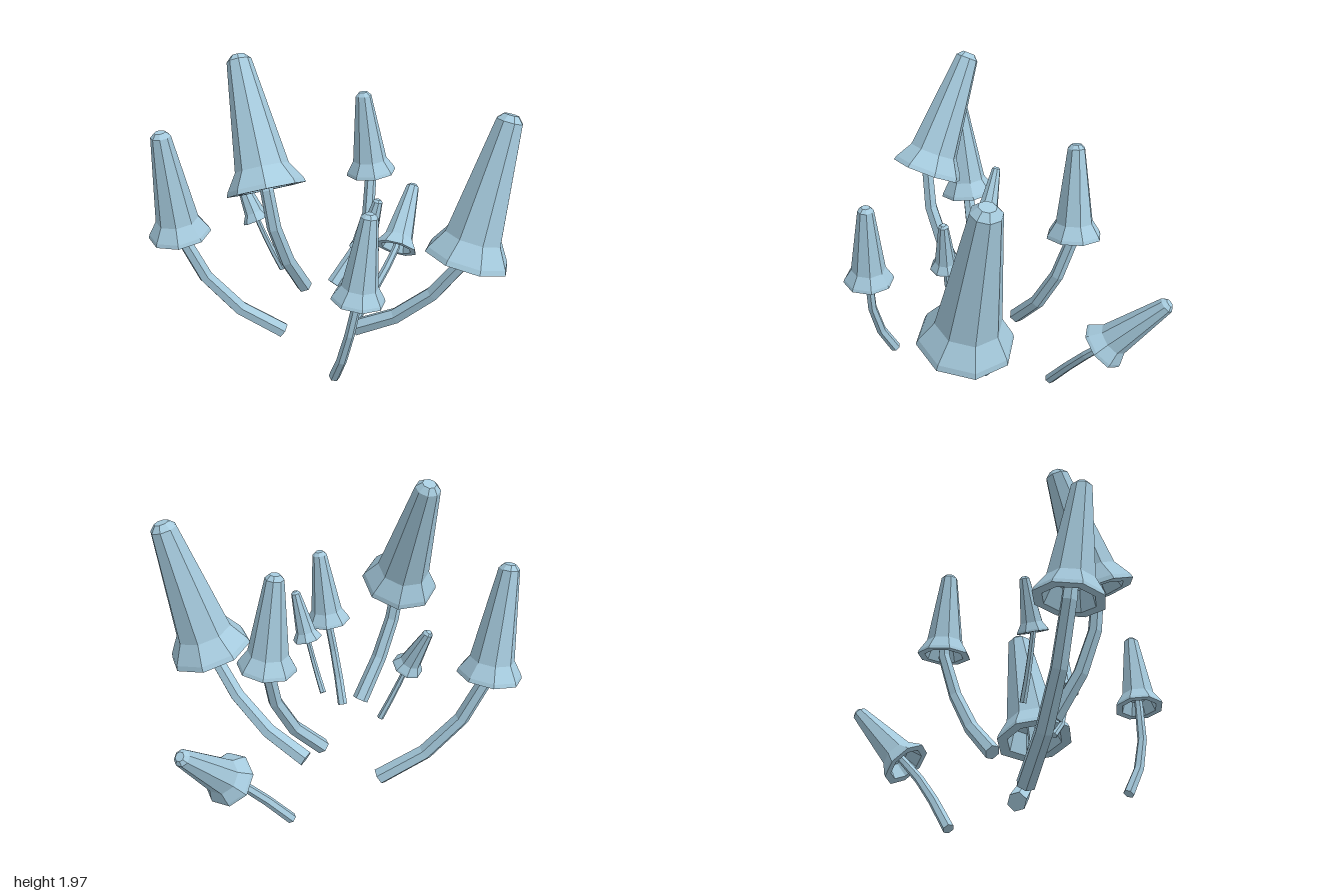
import * as THREE from 'three';

const paleBlue = new THREE.MeshStandardMaterial({ color: 0xa6cbde, flatShading: true });
paleBlue.name = 'paleBlue';

const UP = new THREE.Vector3(0, 1, 0);
const vec = (p) => new THREE.Vector3(...p);

// Each mushroom: rim centre and tip of the cap, rim radius, stem radius, bend and foot of the stem
const MUSHROOMS = [
  { rim: [-0.48, 1.28, 0], tip: [-0.48, 1.96, -0.31], r: 0.22, stem: 0.034, bend: [-0.47, 0.93, 0.03], foot: [-0.215, 0.575, -0.095] },
  { rim: [-0.82, 0.88, -0.535], tip: [-0.895, 1.535, -0.5], r: 0.186, stem: 0.037, bend: [-0.68, 0.395, -0.49], foot: [-0.26, 0.15, -0.33] },
  { rim: [-0.235, 0.8, 0.567], tip: [-0.18, 1.29, 0.585], r: 0.148, stem: 0.023, bend: [-0.3, 0.45, 0.55], foot: [-0.282, 0.23, 0.39] },
  { rim: [0.025, 0.89, 0.2], tip: [0.085, 1.195, 0.248], r: 0.09, stem: 0.014, bend: [-0.02, 0.67, 0.18], foot: [-0.03, 0.565, 0.065] },
  { rim: [0.585, 0.785, 0.44], tip: [0.81, 1.635, 0.47], r: 0.26, stem: 0.04, bend: [0.43, 0.33, 0.23], foot: [0.13, 0.19, -0.07] },
  { rim: [0.44, 1.09, -0.4], tip: [0.388, 1.62, -0.425], r: 0.16, stem: 0.033, bend: [0.404, 0.672, -0.295], foot: [0.09, 0.42, -0.277] },
  { rim: [0.69, 0.46, -0.455], tip: [0.965, 0.82, -0.66], r: 0.15, stem: 0.023, bend: [0.565, 0.33, -0.39], foot: [0.32, 0.025, -0.385] },
  { rim: [-0.378, 0.935, -0.385], tip: [-0.44, 1.2, -0.5], r: 0.09, stem: 0.014, bend: [-0.32, 0.76, -0.36], foot: [-0.245, 0.59, -0.34] },
];

// Hollow eight-sided bell: inner wall, flat rim, flare, long taper, chamfered tip
function makeCap({ rim, tip, r }) {
  const axis = vec(tip).sub(vec(rim));
  const h = axis.length();
  const profile = [
    [0, r * 0.65], [r * 0.52, r * 0.55], [r * 0.73, 0], [r, 0], [r * 0.96, r * 0.12],
    [r * 0.68, r * 0.56], [r * 0.31, h - r * 0.14], [r * 0.17, h], [0, h],
  ].map((p) => new THREE.Vector2(...p));
  const geometry = new THREE.LatheGeometry(profile, 8).rotateY(Math.PI / 8);
  const cap = new THREE.Mesh(geometry, paleBlue);
  cap.name = 'cap';
  cap.quaternion.setFromUnitVectors(UP, axis.normalize());
  cap.position.copy(vec(rim));
  return cap;
}

// Six-sided bent stem widening to the foot: rows of a cylinder moved onto a curve
function makeStem({ rim, tip, r, stem, bend, foot }) {
  const axis = vec(tip).sub(vec(rim)).normalize();
  const root = vec(rim).addScaledVector(axis, r * 0.75);
  const curve = new THREE.QuadraticBezierCurve3(vec(rim), vec(bend), vec(foot));
  const points = [root, ...curve.getPoints(3)];
  const n = points.length - 1;
  const frames = points.map((p, i) => {
    const before = points[Math.max(i - 1, 0)];
    const after = points[Math.min(i + 1, n)];
    const dir = before.clone().sub(after).normalize();
    return new THREE.Quaternion().setFromUnitVectors(UP, dir);
  });
  const geometry = new THREE.CylinderGeometry(1, 1, 1, 6, n);
  const pos = geometry.attributes.position;
  const v = new THREE.Vector3();
  for (let k = 0; k < pos.count; k++) {
    v.fromBufferAttribute(pos, k);
    const i = Math.round((0.5 - v.y) * n);
    v.y = 0;
    v.multiplyScalar(stem * (1 + 0.4 * i / n));
    v.applyQuaternion(frames[i]).add(points[i]);
    pos.setXYZ(k, v.x, v.y, v.z);
  }
  geometry.computeVertexNormals();
  const mesh = new THREE.Mesh(geometry, paleBlue);
  mesh.name = 'stem';
  return mesh;
}

export function createModel() {
  const model = new THREE.Group();
  model.name = 'mushroomCluster';
  MUSHROOMS.forEach((spec, i) => {
    const mushroom = new THREE.Group();
    mushroom.name = `mushroom${i + 1}`;
    mushroom.add(makeCap(spec), makeStem(spec));
    model.add(mushroom);
  });
  return model;
}
